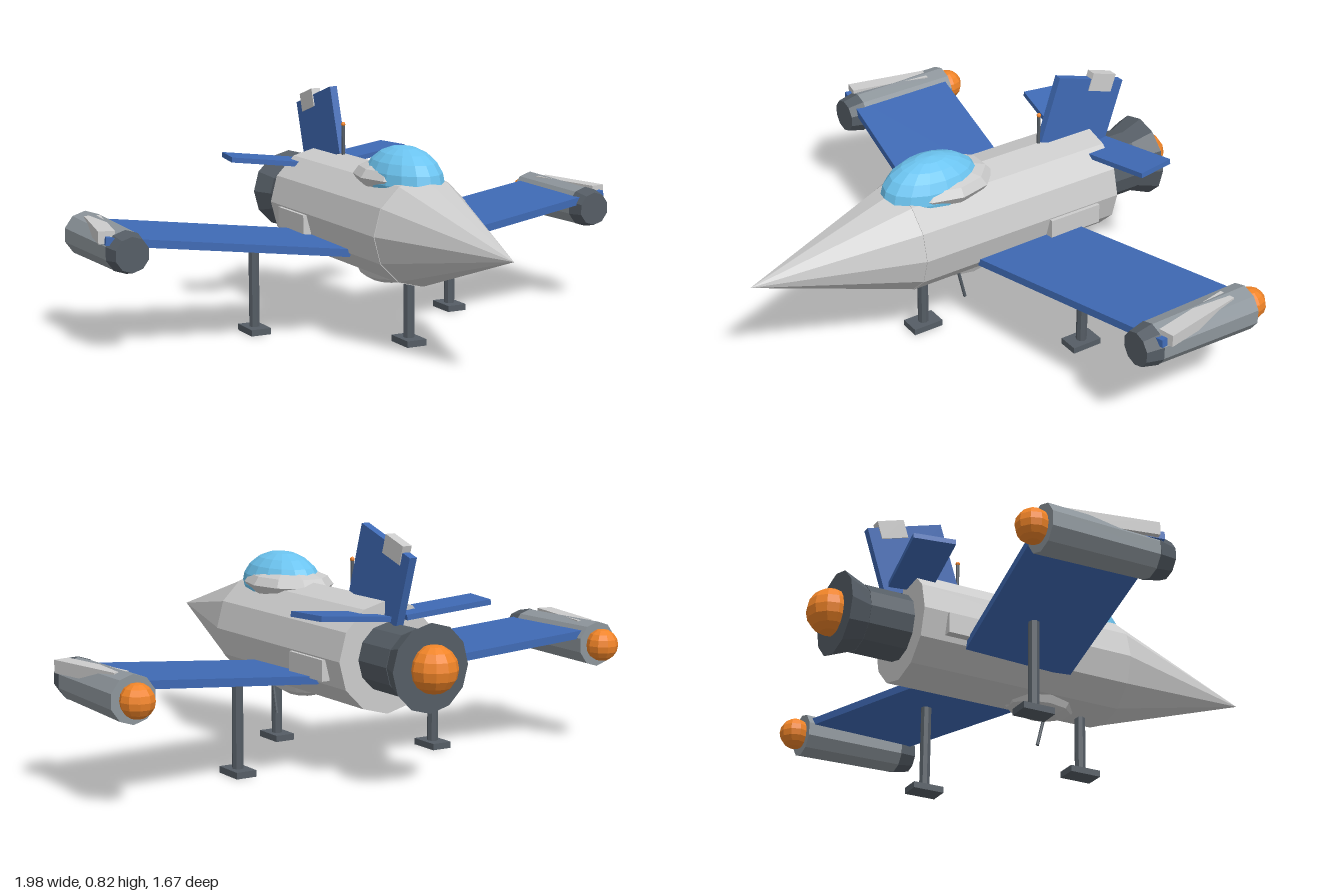
import * as THREE from 'three';

const material = (color) => new THREE.MeshStandardMaterial({ color, flatShading: true });

export function createModel() {
  const model = new THREE.Group();
  const grey = material(0xcccccc);
  const steel = material(0x8d959b);
  const dark = material(0x555d65);
  const blue = material(0x3f6ab5);
  const glass = material(0x6cc4f0);
  const orange = material(0xf08428);

  const add = (name, geometry, mat, x, y, z, rx = 0, ry = 0, rz = 0) => {
    const mesh = new THREE.Mesh(geometry, mat);
    mesh.name = name;
    mesh.position.set(x, y, z);
    mesh.rotation.set(rx, ry, rz);
    model.add(mesh);
    return mesh;
  };
  const box = (w, h, d) => new THREE.BoxGeometry(w, h, d);
  const post = (r, h) => new THREE.CylinderGeometry(r, r, h, 8);
  const ball = (r, w = 12, h = 8) => new THREE.SphereGeometry(r, w, h);
  // Tapered cylinder lying along z between two stations
  const barrel = (name, mat, x, y, zFront, zBack, rFront, rBack, sides, rows = 1) =>
    add(name, new THREE.CylinderGeometry(rFront, rBack, zFront - zBack, sides, rows).rotateX(Math.PI / 2),
      mat, x, y, (zFront + zBack) / 2);

  // Fuselage, nose and main engine
  const axis = 0.397;
  barrel('fuselage', grey, 0, axis, 0.275, -0.505, 0.186, 0.186, 12);
  barrel('noseCone', grey, 0, axis, 0.835, 0.275, 0, 0.184, 12, 2);
  barrel('engine', dark, 0, axis, -0.5, -0.66, 0.114, 0.114, 12);
  barrel('nozzle', dark, 0, axis, -0.66, -0.74, 0.112, 0.144, 12);
  add('engineFlame', ball(0.079), orange, 0, axis, -0.756);

  // Cockpit and belly blister
  add('canopyFrame', ball(1, 10, 6).scale(0.14, 0.056, 0.185), grey, 0, 0.565, 0.1);
  add('canopy', ball(1, 16, 10).scale(0.117, 0.118, 0.185), glass, 0, 0.552, 0.143);
  add('bellyBlister', ball(1, 10, 6).scale(0.09, 0.05, 0.135), grey, 0, 0.235, 0.02);

  // Tail fin with its block
  const finTilt = -0.305;
  add('tailFin', box(0.027, 0.24, 0.283), blue, 0, 0.66, -0.47, finTilt);
  add('finBlock', box(0.034, 0.065, 0.1), grey, 0, 0.75, -0.55, finTilt);

  // Aerials
  add('topAerial', post(0.006, 0.12), dark, 0, 0.63, -0.296);
  add('aerialTip', ball(0.008, 8, 6), orange, 0, 0.69, -0.296);
  add('bellyAerial', post(0.006, 0.12), dark, 0.075, 0.178, 0.07, 0.24);

  const landingLeg = (name, x, z, top) => {
    add(name, post(0.019, top - 0.01), dark, x, (top + 0.01) / 2, z);
    add(name + 'Foot', box(0.073, 0.022, 0.112), dark, x, 0.011, z);
  };
  landingLeg('frontLeg', 0, 0.18, 0.24);

  // Mirrored parts
  for (const s of [1, -1]) {
    const side = s > 0 ? 'left' : 'right';
    add(side + 'Wing', box(0.834, 0.027, 0.386), blue, s * 0.531, 0.348, -0.207, 0, s * 0.171, s * 0.109);
    add(side + 'Tailplane', box(0.3, 0.018, 0.142), blue, s * 0.19, 0.547, -0.522, 0, s * 0.17, s * 0.11);
    add(side + 'RootFairing', box(0.03, 0.07, 0.2), grey, s * 0.182, 0.357, -0.32);

    // Wing tip engine
    const x = s * 0.9, y = 0.351;
    barrel(side + 'Nacelle', steel, x, y, -0.1, -0.475, 0.071, 0.078, 10);
    barrel(side + 'Intake', dark, x, y, -0.04, -0.1, 0.06, 0.073, 10);
    add(side + 'NacelleFlame', ball(0.056, 10, 8), orange, x, y, -0.5);
    add(side + 'NacelleBlock', box(0.055, 0.042, 0.3), grey, s * 0.932, 0.403, -0.255, 0, s * 0.2, 0);

    landingLeg(side + 'RearLeg', s * 0.39, -0.215, 0.335);
  }
  return model;
}
